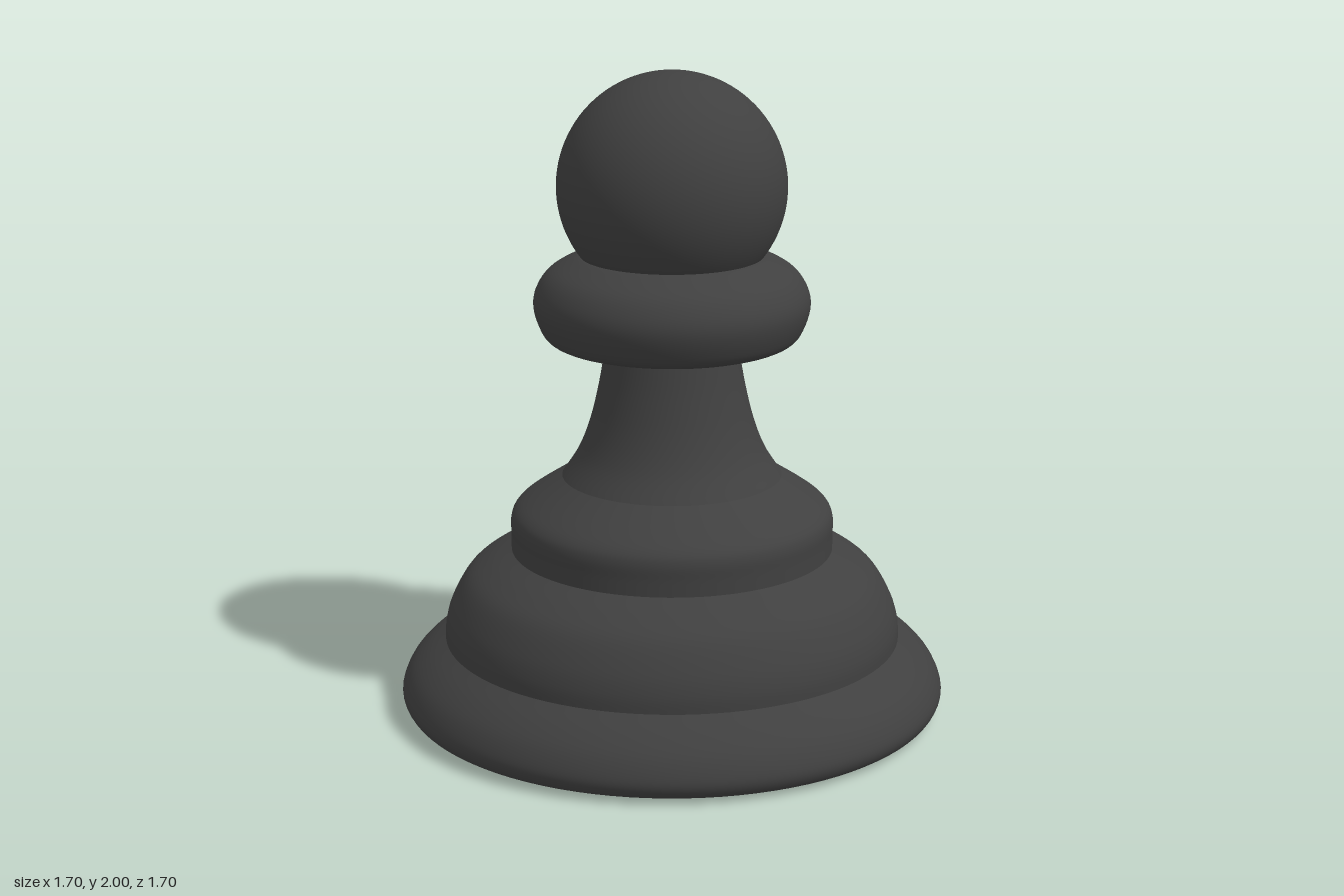
import * as THREE from 'three';

const material = new THREE.MeshStandardMaterial({ color: 0x404040 });

// Smooth profile points [radius, height], listed bottom to top
function curved(points, steps = 28) {
  const curve = new THREE.SplineCurve(points.map(([r, y]) => new THREE.Vector2(r, y)));
  return curve.getPoints(steps);
}

// Turn a profile around the vertical axis
function turned(name, profile) {
  const mesh = new THREE.Mesh(new THREE.LatheGeometry(profile, 96), material);
  mesh.name = name;
  return mesh;
}

// Circular arc profile for the head, ending exactly on the axis
function headProfile() {
  const radius = 0.35, centre = 1.65, start = -0.66, points = [];
  for (let i = 0; i <= 36; i++) {
    const a = start + (Math.PI / 2 - start) * i / 36;
    points.push(new THREE.Vector2(i === 36 ? 0 : radius * Math.cos(a), centre + radius * Math.sin(a)));
  }
  return points;
}

export function createModel() {
  const pawn = new THREE.Group();
  pawn.name = 'pawn';

  // Flat underside, then the rounded foot
  pawn.add(turned('underside', [new THREE.Vector2(0, 0), new THREE.Vector2(0.73, 0)]));
  pawn.add(turned('foot', curved([
    [0.73, 0], [0.81, 0.012], [0.84, 0.035], [0.847, 0.075],
    [0.82, 0.135], [0.77, 0.187], [0.71, 0.23],
  ])));

  // Domed step above the foot
  pawn.add(turned('dome', curved([
    [0.71, 0.225], [0.707, 0.28], [0.687, 0.345],
    [0.64, 0.425], [0.575, 0.475], [0.5, 0.515],
  ])));

  // Short band rounding into a sloped shoulder
  pawn.add(turned('shoulder', curved([
    [0.5, 0.51], [0.5, 0.56], [0.5, 0.61], [0.485, 0.645], [0.44, 0.682], [0.34, 0.747],
  ])));

  // Flared stem
  pawn.add(turned('stem', curved([
    [0.34, 0.747], [0.29, 0.825], [0.253, 0.92], [0.224, 1.04], [0.203, 1.165],
  ])));

  // Collar ring
  pawn.add(turned('collar', curved([
    [0.19, 1.15], [0.3, 1.163], [0.375, 1.182], [0.407, 1.227], [0.423, 1.29],
    [0.41, 1.345], [0.37, 1.395], [0.29, 1.437], [0.26, 1.44],
  ], 40)));

  // Ball head
  pawn.add(turned('head', headProfile()));

  return pawn;
}
